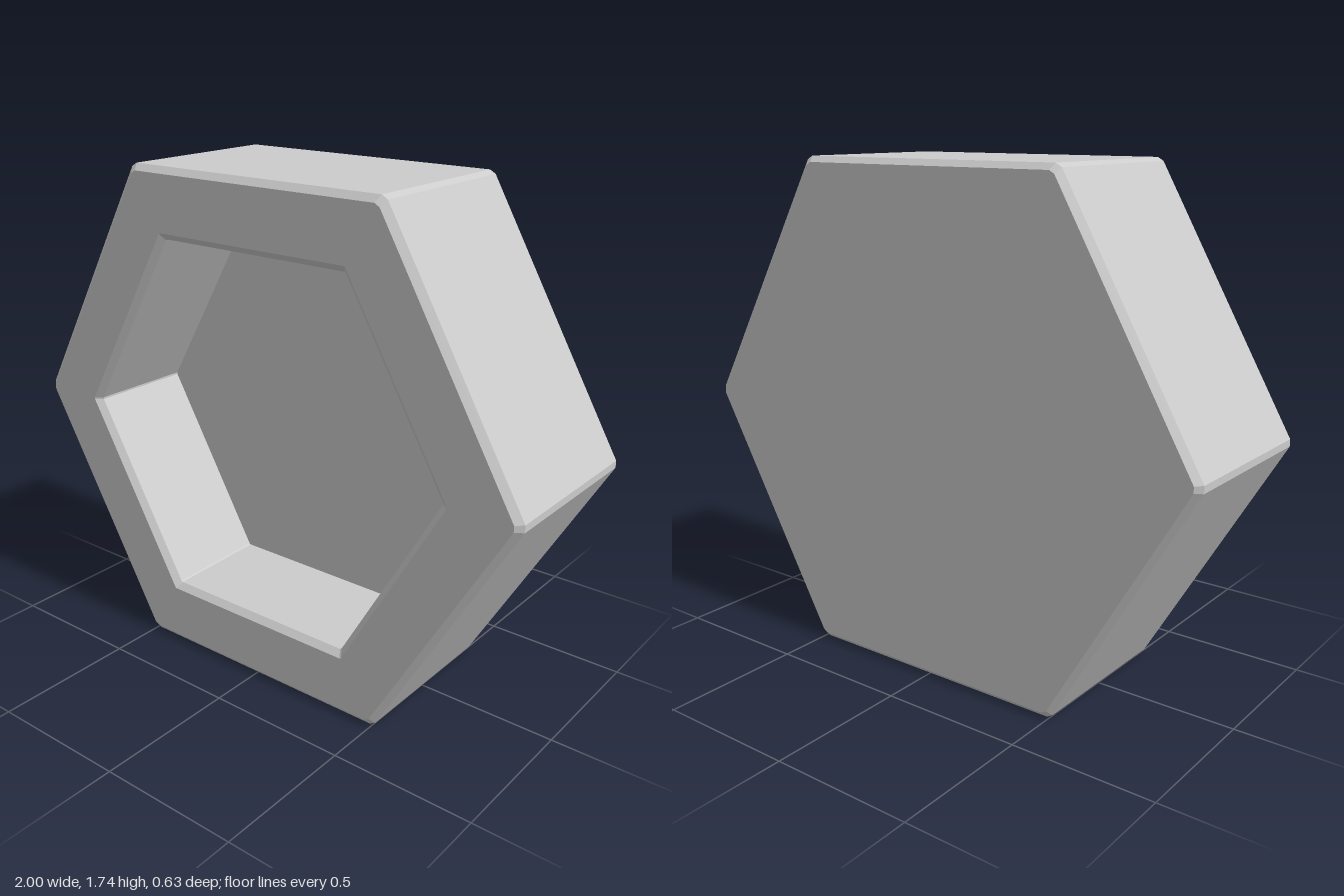
import * as THREE from 'three';

const CENTRE_Y = 0.872;

// Hexagon outline with points at left and right and clipped corners; 12 points, counter-clockwise
function hexRing(apothem, clip, z) {
  const pts = [];
  const half = apothem / Math.sqrt(3) - clip; // half of the straight part of a side
  for (let i = 0; i < 6; i++) {
    const a = Math.PI / 6 + (i * Math.PI) / 3;
    for (const s of [-half, half]) {
      pts.push([
        apothem * Math.cos(a) - s * Math.sin(a),
        CENTRE_Y + apothem * Math.sin(a) + s * Math.cos(a),
        z,
      ]);
    }
  }
  return pts;
}

// Flat-faced skin between successive rings
function skin(rings) {
  const pos = [];
  for (let r = 0; r + 1 < rings.length; r++) {
    const A = rings[r], B = rings[r + 1], n = A.length;
    for (let i = 0; i < n; i++) {
      const j = (i + 1) % n;
      pos.push(...A[i], ...A[j], ...B[j], ...A[i], ...B[j], ...B[i]);
    }
  }
  return toGeometry(pos);
}

// Flat cap fanned from the first point of a ring
function cap(ring, flip) {
  const pos = [];
  for (let i = 1; i + 1 < ring.length; i++) {
    pos.push(...ring[0], ...(flip ? ring[i + 1] : ring[i]), ...(flip ? ring[i] : ring[i + 1]));
  }
  return toGeometry(pos);
}

function toGeometry(pos) {
  const g = new THREE.BufferGeometry();
  g.setAttribute('position', new THREE.Float32BufferAttribute(pos, 3));
  g.computeVertexNormals();
  return g;
}

export function createModel() {
  const group = new THREE.Group();
  group.name = 'hexagonalTray';
  const material = new THREE.MeshStandardMaterial({ color: 0xcccccc, flatShading: true });
  const add = (name, geometry) => {
    const mesh = new THREE.Mesh(geometry, material);
    mesh.name = name;
    group.add(mesh);
  };

  // Ring sections: [apothem, corner clip, z]
  const back = hexRing(0.852, 0.012, -0.315);
  const sideBack = hexRing(0.872, 0.014, -0.295);
  const sideFront = hexRing(0.872, 0.014, 0.295);
  const rimOuter = hexRing(0.85, 0.012, 0.315);
  const rimInner = hexRing(0.657, 0.004, 0.315);
  const wallTop = hexRing(0.635, 0.004, 0.295);
  const floor = hexRing(0.63, 0.004, -0.08);

  add('backPanel', cap(back, true));
  add('outerWall', skin([back, sideBack, sideFront, rimOuter])); // with bevelled edges
  add('frontRim', skin([rimOuter, rimInner]));
  add('recessWall', skin([rimInner, wallTop, floor])); // bevelled lip, then straight down
  add('recessFloor', cap(floor, false));

  return group;
}
